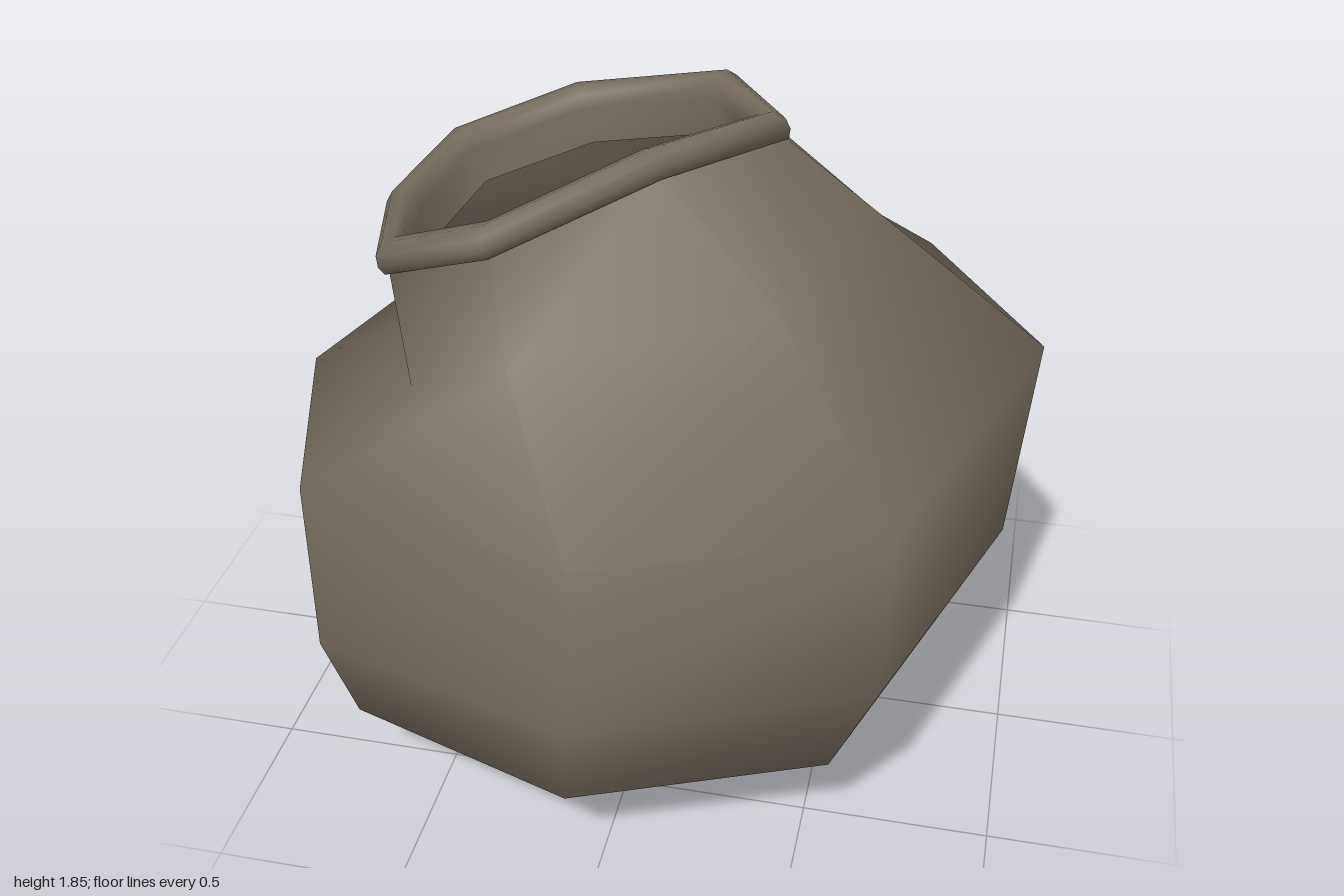
import * as THREE from 'three';
import { mergeVertices } from 'three/addons/utils/BufferGeometryUtils.js';

const V = (x, y, z) => new THREE.Vector3(x, y, z);

// Skins a stack of eight-sided rings, listed from the outside bottom upward.
function loft(rings) {
  const n = rings[0].length;
  const index = [];
  for (let k = 0; k < rings.length - 1; k++) {
    for (let i = 0; i < n; i++) {
      const j = (i + 1) % n;
      const a = k * n + i, b = k * n + j, c = b + n, d = a + n;
      index.push(b, a, d, b, d, c);
    }
  }
  const geo = new THREE.BufferGeometry().setFromPoints(rings.flat());
  geo.setIndex(index);
  const merged = mergeVertices(geo, 1e-4);
  merged.computeVertexNormals();
  return merged;
}

// Unit octagon as x, z: back, then round by the +x side to the front
const octagon = [
  [-0.06, -1], [0.69, -0.77], [1, -0.05], [0.73, 0.73],
  [-0.04, 1], [-0.81, 0.73], [-1, 0.04], [-0.77, -0.73],
];

// Tilted ring: centre, half-widths and rise towards +x
const ring = (cx, cy, cz, rx, rz, rise) =>
  octagon.map(([x, z]) => V(cx + x * rx, cy + x * rise, cz + z * rz));

// Irregular upper cross-sections
const shoulder = [
  V(-0.13, 1.02, -0.85), V(0.65, 1.15, -0.73), V(1, 1.19, -0.11), V(0.7, 1.08, 0.68),
  V(-0.04, 1.03, 0.91), V(-0.78, 1.02, 0.7), V(-1, 0.99, 0.04), V(-0.8, 1.0, -0.64),
];
const neck = [
  V(-0.3, 1.38, -0.55), V(0.24, 1.46, -0.53), V(0.5, 1.57, -0.1), V(0.37, 1.52, 0.44),
  V(-0.26, 1.36, 0.59), V(-0.56, 1.2, 0.45), V(-0.69, 1.16, 0.03), V(-0.6, 1.2, -0.39),
];
const lip = [
  V(-0.34, 1.6, -0.5), V(0.12, 1.7, -0.44), V(0.31, 1.73, -0.1), V(0.07, 1.79, 0.34),
  V(-0.33, 1.61, 0.5), V(-0.63, 1.49, 0.41), V(-0.74, 1.45, 0.03), V(-0.68, 1.48, -0.36),
];

// Lip outline moved inward and along the axis of the tilted mouth
const mouthCentre = V(-0.21, 1.61, 0);
const mouthAxis = V(-0.28, 0.96, 0);
const lipRing = (inset, lift) => lip.map((p) => {
  const inward = mouthCentre.clone().sub(p).normalize();
  return p.clone().addScaledVector(inward, inset).addScaledVector(mouthAxis, lift);
});

export function createModel() {
  const group = new THREE.Group();
  const clay = new THREE.MeshStandardMaterial({ color: 0x756b5e, side: THREE.DoubleSide });
  clay.name = 'grey brown clay';

  const add = (name, geometry) => {
    const mesh = new THREE.Mesh(geometry, clay);
    mesh.name = name;
    group.add(mesh);
  };

  // Lopsided pot from the base point up to the neck
  add('potBody', loft([
    ring(-0.07, 0.005, 0.02, 0, 0, 0),
    ring(-0.065, 0.085, 0.02, 0.555, 0.61, 0.015),
    ring(-0.035, 0.295, 0.01, 0.835, 0.88, 0.035),
    ring(-0.005, 0.575, 0.005, 0.955, 0.955, 0.06),
    shoulder,
    neck,
    lipRing(0.025, 0.01),
  ]));

  // Rounded bead round the mouth, turning down inside
  const bead = [
    [0.04, -0.005], [0.01, -0.005], [0, 0.02], [0.005, 0.05], [0.03, 0.075],
    [0.065, 0.075], [0.085, 0.055], [0.095, 0.02], [0.1, -0.08],
  ];
  add('rim', loft(bead.map(([inset, lift]) => lipRing(inset, lift))));

  return group;
}
